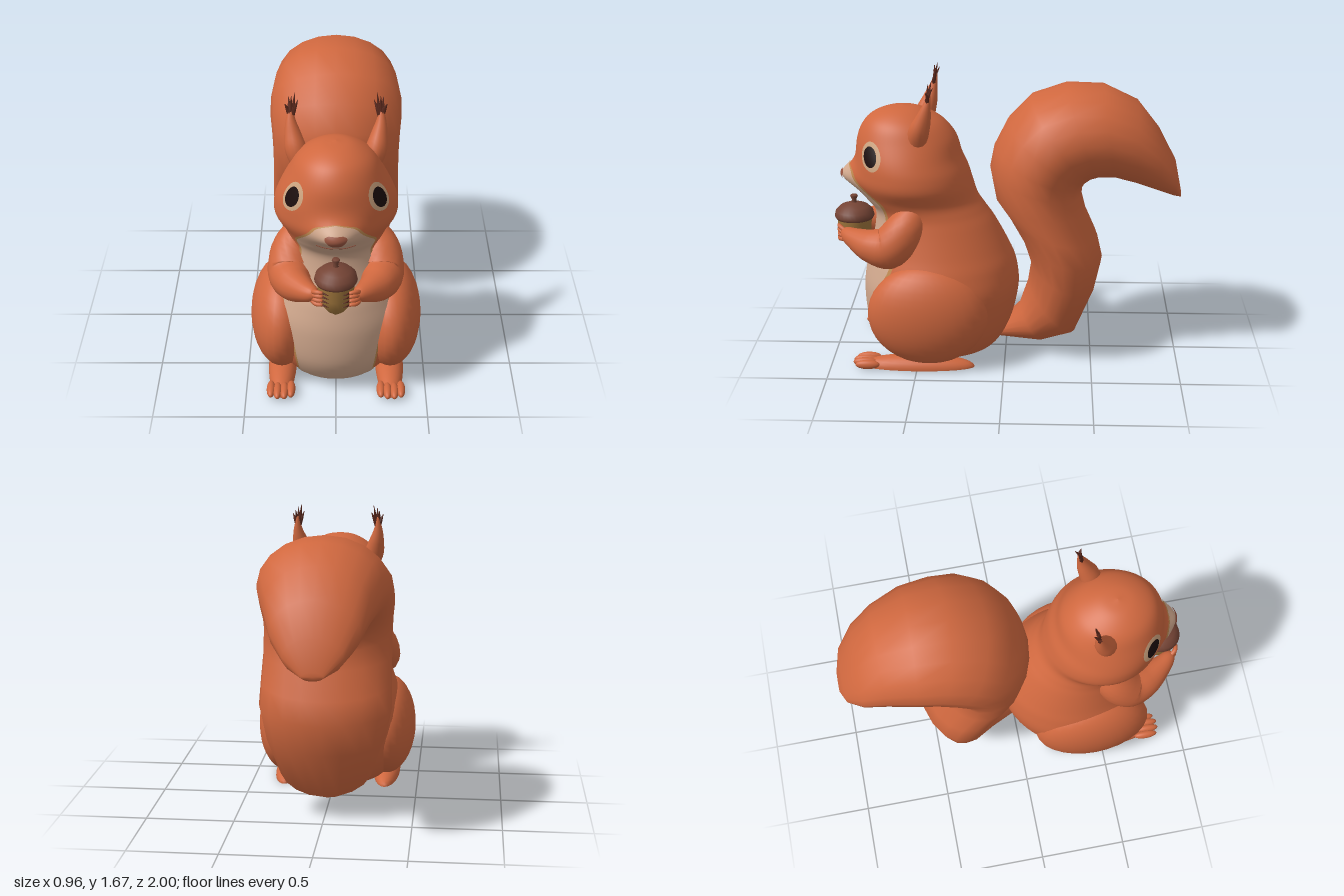
import * as THREE from 'three';

const paint = (name, color) => {
  const m = new THREE.MeshStandardMaterial({ color });
  m.name = name;
  return m;
};
const V = (x, y, z) => new THREE.Vector3(x, y, z);

export function createModel() {
  const model = new THREE.Group();
  model.name = 'squirrel';
  const fur = paint('orange fur', 0xd0683f);
  const cream = paint('cream fur', 0xd2a98e);
  const trim = paint('golden fur edge', 0xc08a50);
  const eyeRing = paint('eye ring', 0xcfa580);
  const black = paint('eye black', 0x1c0d0c);
  const brown = paint('nose brown', 0x9a5540);
  const dark = paint('dark tuft and claw', 0x5a281c);
  const nutColor = paint('acorn tan', 0xa0763c);
  const capColor = paint('acorn cap brown', 0x754435);

  const add = (name, geo, mat) => {
    const mesh = new THREE.Mesh(geo, mat);
    mesh.name = name;
    model.add(mesh);
    return mesh;
  };

  // Skin over rows of points; closed rows wrap round and get end caps
  function skin(rows, closed) {
    const n = rows[0].length, pts = rows.flat(), index = [];
    for (let i = 0; i < rows.length - 1; i++) {
      for (let j = 0; j < (closed ? n : n - 1); j++) {
        const k = (j + 1) % n, a = i * n + j, b = i * n + k;
        index.push(a, b, a + n, b, b + n, a + n);
      }
    }
    if (closed) {
      [0, rows.length - 1].forEach((r, end) => {
        const c = V(0, 0, 0);
        rows[r].forEach((p) => c.addScaledVector(p, 1 / n));
        pts.push(c);
        for (let j = 0; j < n; j++) {
          const a = r * n + j, b = r * n + (j + 1) % n;
          index.push(pts.length - 1, end ? a : b, end ? b : a);
        }
      });
    }
    const geo = new THREE.BufferGeometry().setFromPoints(pts);
    geo.setIndex(index);
    geo.computeVertexNormals();
    return geo;
  }

  const ring = (c, u, v, n) => Array.from({ length: n }, (_, j) => {
    const a = (j / n) * Math.PI * 2;
    return c.clone().addScaledVector(u, Math.cos(a)).addScaledVector(v, Math.sin(a));
  });

  // Tapered limb through points [x, y, z, radius]
  function limb(points, steps, sides) {
    const path = new THREE.CatmullRomCurve3(points.map((p) => V(p[0], p[1], p[2])), false, 'catmullrom');
    const size = new THREE.CatmullRomCurve3(points.map((p) => V(p[3], 0, 0)), false, 'catmullrom');
    const dir = path.getPoint(1).sub(path.getPoint(0)).normalize();
    const up = Math.abs(dir.y) > 0.75 ? V(0, 0, 1) : V(0, 1, 0);
    const rows = [];
    for (let i = 0; i <= steps; i++) {
      const t = i / steps, T = path.getTangent(t), r = size.getPoint(t).x;
      const v = T.clone().cross(up).normalize(), u = v.clone().cross(T);
      rows.push(ring(path.getPoint(t), u.multiplyScalar(r), v.multiplyScalar(r), sides));
    }
    return skin(rows, true);
  }

  const ellipsoid = (name, c, r, mat) => {
    const mesh = add(name, new THREE.SphereGeometry(1, 28, 20).scale(...r), mat);
    mesh.position.set(...c);
    return mesh;
  };

  // Head and torso profile: height, half width, back z, front z
  const profile = [
    [0.01, 0.22, 0.15, 0.64], [0.06, 0.31, 0.05, 0.72], [0.2, 0.39, -0.03, 0.8],
    [0.4, 0.42, -0.075, 0.82], [0.55, 0.385, -0.06, 0.8], [0.66, 0.345, -0.015, 0.77],
    [0.8, 0.3, 0.06, 0.745], [0.88, 0.28, 0.115, 0.75], [0.95, 0.285, 0.16, 0.8],
    [1.04, 0.33, 0.19, 0.84], [1.12, 0.33, 0.215, 0.85], [1.2, 0.305, 0.25, 0.855],
    [1.3, 0.255, 0.28, 0.845], [1.38, 0.21, 0.34, 0.81], [1.43, 0.155, 0.41, 0.76],
    [1.465, 0.085, 0.49, 0.68], [1.478, 0.002, 0.58, 0.584],
  ];
  const sides = new THREE.CatmullRomCurve3(profile.map((p) => V(p[1], p[0], 0)), false, 'catmullrom');
  const depth = new THREE.CatmullRomCurve3(profile.map((p) => V(p[2], p[0], p[3])), false, 'catmullrom');
  const section = (t) => {
    const s = sides.getPoint(t), d = depth.getPoint(t);
    return { y: s.y, w: Math.max(s.x, 0.002), z: (d.x + d.z) / 2, rz: Math.max((d.z - d.x) / 2, 0.002) };
  };
  const sectionAt = (y) => {
    let lo = 0, hi = 1;
    for (let i = 0; i < 26; i++) {
      const mid = (lo + hi) / 2;
      if (sides.getPoint(mid).y < y) lo = mid; else hi = mid;
    }
    return section(lo);
  };
  // Point on the body at angle a from the front, with the muzzle swelling
  const surface = (s, a, off = 0) => {
    const x = Math.sin(a) * s.w, z = Math.cos(a) * s.rz;
    const n = V(Math.sin(a) / s.w, 0, Math.cos(a) / s.rz).normalize();
    const p = V(x, s.y, s.z + z).addScaledVector(n, off);
    if (z > 0) p.z += 0.09 * Math.exp(-((x / 0.13) ** 2) - ((s.y - 1.07) / 0.075) ** 2);
    return p;
  };
  const bodyRows = [];
  for (let i = 0; i <= 96; i++) {
    const s = section(i / 96);
    bodyRows.push(Array.from({ length: 56 }, (_, j) => surface(s, (j / 56) * Math.PI * 2)));
  }
  add('body', skin(bodyRows, true), fur);

  // Thin marking that follows the body; rows are [y, centre angle, half angle]
  const patch = (name, rows, off, mat) => add(name, skin(rows.map(([y, a, h]) => {
    const s = sectionAt(y);
    return Array.from({ length: 21 }, (_, j) => surface(s, a + h * (j / 10 - 1), off));
  }), false), mat);
  const frontRows = (outline, grow = 0) => new THREE.SplineCurve(
    outline.map(([x, y]) => new THREE.Vector2(x, y))).getPoints(70).map((p) => [
    p.y, 0, Math.asin(Math.min(0.93, Math.max(0, p.x + grow) / sectionAt(p.y).w))]);

  // Cream belly, chest and muzzle with a golden edge
  const bib = [[0.19, 0.02], [0.21, 0.2], [0.24, 0.4], [0.28, 0.56], [0.25, 0.66], [0.19, 0.8],
    [0.18, 0.88], [0.2, 0.94], [0.19, 0.99], [0.135, 1.07], [0.09, 1.12], [0, 1.145]];
  patch('bibEdge', frontRows(bib, 0.013), 0.004, trim);
  patch('bib', frontRows(bib), 0.008, cream);
  const base = add('underside', new THREE.CircleGeometry(1, 28).rotateX(Math.PI / 2).scale(0.16, 1, 0.2), cream);
  base.position.set(0, 0.004, 0.39);

  // Nose and mouth
  patch('nose', frontRows([[0.012, 1.032], [0.03, 1.045], [0.052, 1.07], [0.055, 1.09], [0.035, 1.103]]), 0.016, brown);
  const smile = [-0.1, -0.06, -0.03, 0, 0.03, 0.06, 0.1].map((x) => {
    const s = sectionAt(0.97 + 1.8 * x * x + 0.012 * Math.exp(-((x / 0.02) ** 2)));
    return surface(s, Math.asin(x / s.w), 0.008);
  });
  add('mouth', new THREE.TubeGeometry(new THREE.CatmullRomCurve3(smile), 24, 0.004, 5), brown);

  // Tail sections: inner z, inner y, outer z, outer y, half width
  const tail = [
    [0.05, 0.15, 0.05, 0.07, 0.06], [-0.08, 0.27, -0.22, 0.06, 0.17], [-0.13, 0.42, -0.41, 0.13, 0.27],
    [-0.15, 0.55, -0.52, 0.4, 0.34], [-0.1, 0.7, -0.56, 0.58, 0.375], [-0.02, 0.84, -0.53, 0.71, 0.37],
    [0.06, 0.955, -0.46, 0.87, 0.365], [0.09, 1.12, -0.435, 0.97, 0.365], [0.065, 1.25, -0.44, 1.02, 0.37],
    [-0.01, 1.4, -0.46, 1.05, 0.38], [-0.14, 1.535, -0.49, 1.07, 0.38], [-0.34, 1.605, -0.53, 1.08, 0.365],
    [-0.55, 1.6, -0.62, 1.08, 0.34], [-0.745, 1.51, -0.74, 1.045, 0.29], [-0.87, 1.35, -0.87, 1, 0.24],
    [-0.965, 1.17, -0.96, 0.965, 0.16], [-1, 1, -1, 0.955, 0.06],
  ];
  add('tail', skin(tail.map(([iz, iy, oz, oy, w]) => ring(
    V(0, (iy + oy) / 2, (iz + oz) / 2), V(0, (iy - oy) / 2, (iz - oz) / 2), V(w, 0, 0), 20)), true), fur);

  for (const s of [1, -1]) {
    const side = s > 0 ? 'left' : 'right';

    // Eyes
    const oval = (ry, ra) => Array.from({ length: 17 }, (_, i) => {
      const t = (i / 16 - 0.5) * Math.PI;
      return [1.235 + ry * Math.sin(t), s * 0.88, ra * Math.cos(t)];
    });
    patch(side + 'EyeRing', oval(0.08, 0.25), 0.005, eyeRing);
    patch(side + 'Eye', oval(0.056, 0.165), 0.009, black);

    // Ears with tufted tips
    add(side + 'Ear', limb([[s * 0.19, 1.31, 0.49, 0.055], [s * 0.215, 1.38, 0.475, 0.058],
      [s * 0.23, 1.45, 0.45, 0.045], [s * 0.24, 1.52, 0.43, 0.027], [s * 0.24, 1.6, 0.41, 0.006]], 14, 14), fur);
    [[0.2, 1.63, 0.41], [0.215, 1.67, 0.4], [0.235, 1.655, 0.42], [0.25, 1.64, 0.39], [0.27, 1.615, 0.43]].forEach(
      ([x, y, z]) => add(side + 'EarTuft', limb([[s * 0.238, 1.52, 0.43, 0.012],
        [s * (0.12 + x / 2), 1.58, 0.42, 0.011], [s * x, y, z, 0.001]], 5, 5), dark));

    // Arms, fingers and claws
    add(side + 'Arm', limb([[s * 0.18, 0.92, 0.5, 0.08], [s * 0.235, 0.81, 0.56, 0.115],
      [s * 0.245, 0.71, 0.645, 0.125], [s * 0.225, 0.705, 0.75, 0.1], [s * 0.17, 0.725, 0.85, 0.066],
      [s * 0.125, 0.742, 0.91, 0.042], [s * 0.105, 0.745, 0.935, 0.02]], 28, 20), fur);
    [0.705, 0.73, 0.755, 0.778].forEach((y) => {
      add(side + 'Finger', limb([[s * 0.13, 0.73 + (y - 0.74) * 0.6, 0.91, 0.014], [s * 0.105, y, 0.95, 0.013],
        [s * 0.07, y, 0.963, 0.009]], 6, 8), fur);
      add(side + 'Claw', limb([[s * 0.072, y, 0.963, 0.007], [s * 0.035, y - 0.008, 0.976, 0.001]], 2, 6), dark);
    });

    // Haunches, feet and toes
    ellipsoid(side + 'Thigh', [s * 0.305, 0.325, 0.435], [0.175, 0.3, 0.345], fur);
    const foot = new THREE.SphereGeometry(1, 24, 16).scale(0.08, 0.07, 0.33);
    const pos = foot.attributes.position;
    for (let i = 0; i < pos.count; i++) pos.setY(i, Math.max(0, pos.getY(i)));
    foot.computeVertexNormals();
    add(side + 'Foot', foot, fur).position.set(s * 0.305, 0, 0.5);
    [0.25, 0.287, 0.325, 0.362].forEach((x, i) => ellipsoid(side + 'Toe',
      [s * x, 0.028, 0.785 + (i % 3 ? 0.015 : 0)], [0.024, 0.027, 0.07], fur));
  }

  // Acorn held in front
  const lathe = (name, pts, mat) => add(name, new THREE.LatheGeometry(
    pts.map(([x, y]) => new THREE.Vector2(x, y)), 28), mat).position.set(0, 0, 0.88);
  lathe('acornNut', [[0, 0.588], [0.015, 0.6], [0.05, 0.628], [0.08, 0.67], [0.095, 0.72], [0.1, 0.805]], nutColor);
  lathe('acornCap', [[0.08, 0.795], [0.108, 0.8], [0.115, 0.815], [0.108, 0.845], [0.08, 0.872], [0.04, 0.888], [0.016, 0.893]], capColor);
  lathe('acornStem', [[0.016, 0.885], [0.013, 0.91], [0.022, 0.93], [0.018, 0.938], [0, 0.938]], capColor);

  return model;
}
